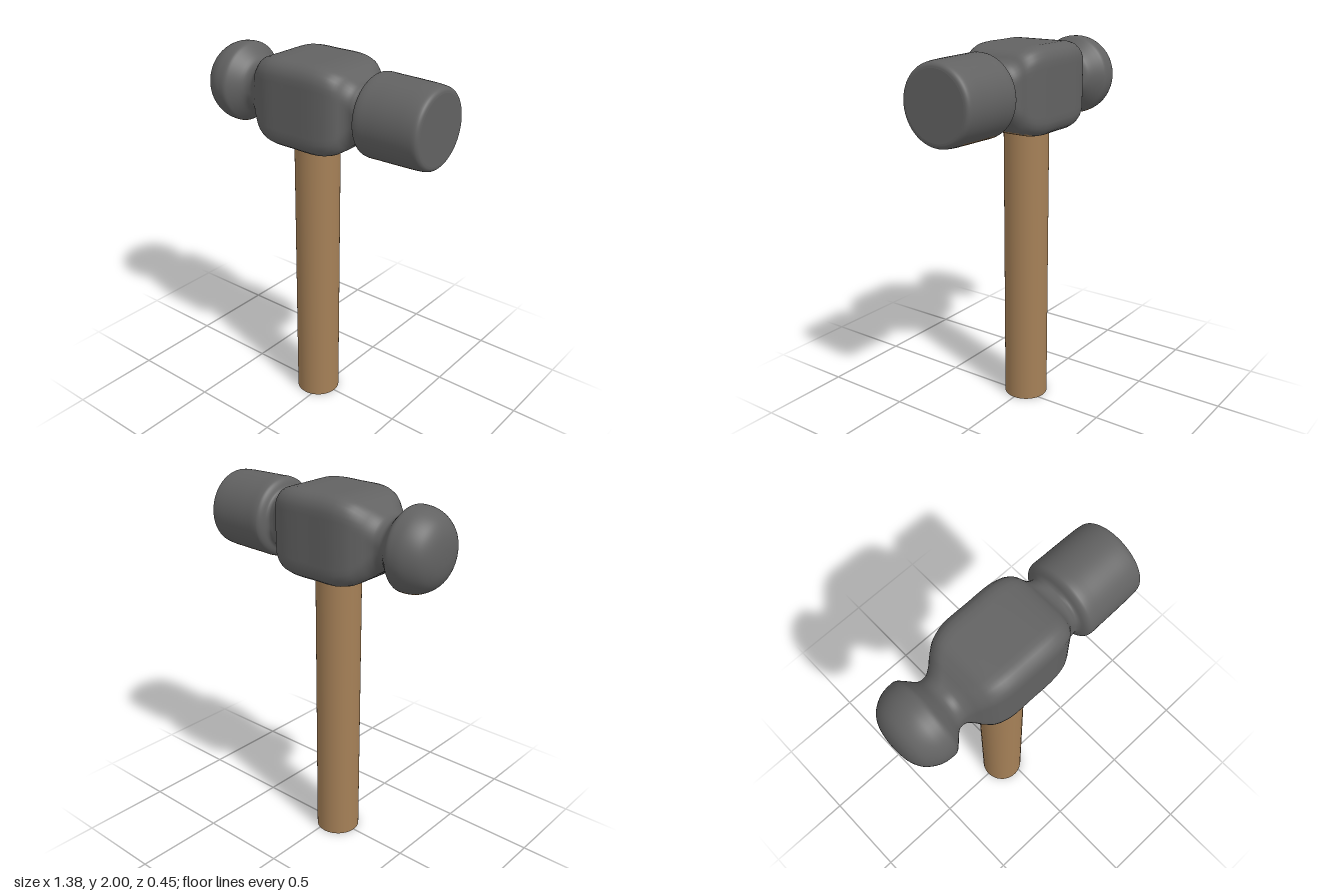
import * as THREE from 'three';

const HEAD_Y = 1.775;
const SIDES = 64;

// Head profile along its axis: [x, half width, roundness (1 = circle, less = rounded square)]
const PROFILE = [
  [-0.69, 0, 1], [-0.687, 0.055, 1], [-0.675, 0.11, 1], [-0.65, 0.155, 1], [-0.615, 0.185, 1],
  [-0.57, 0.206, 1], [-0.53, 0.212, 1], [-0.495, 0.21, 1], [-0.47, 0.19, 1], [-0.425, 0.146, 1],
  [-0.385, 0.134, 0.9], [-0.345, 0.147, 0.7], [-0.3, 0.18, 0.48], [-0.25, 0.208, 0.38],
  [-0.18, 0.224, 0.35], [-0.04, 0.226, 0.35], [0.1, 0.225, 0.35], [0.17, 0.213, 0.36],
  [0.21, 0.195, 0.4], [0.24, 0.167, 0.5], [0.26, 0.154, 0.6], [0.285, 0.15, 0.75],
  [0.312, 0.162, 0.95], [0.328, 0.197, 1], [0.345, 0.209, 1], [0.42, 0.21, 1],
  [0.55, 0.208, 1], [0.64, 0.205, 1], [0.675, 0.199, 1], [0.687, 0.187, 1], [0.69, 0.173, 1],
];

// Distance from the axis to a rounded square of half width r, along angle t
function sectionRadius(r, roundness, t) {
  const c = Math.abs(Math.cos(t)), s = Math.abs(Math.sin(t));
  const q = r * (1 - roundness), corner = r * roundness;
  const flat = r / Math.max(c, s);
  if (flat * Math.min(c, s) <= q) return flat;
  const b = q * (c + s);
  return b + Math.sqrt(Math.max(0, b * b - 2 * q * q + corner * corner));
}

function headGeometry() {
  const curve = new THREE.CatmullRomCurve3(PROFILE.map(p => new THREE.Vector3(...p)));
  const rings = curve.getPoints((PROFILE.length - 1) * 4);
  const positions = [], steel = [], wood = [];
  for (const { x, y: r, z: k } of rings) {
    for (let j = 0; j < SIDES; j++) {
      const t = (j / SIDES) * Math.PI * 2;
      const d = sectionRadius(Math.max(r, 0.0005), Math.min(k, 1), t);
      positions.push(x, d * Math.cos(t), d * Math.sin(t));
    }
  }
  const point = i => new THREE.Vector3().fromArray(positions, i * 3);
  for (let i = 0; i < rings.length - 1; i++) {
    for (let j = 0; j < SIDES; j++) {
      const a = i * SIDES + j, b = i * SIDES + (j + 1) % SIDES;
      const c = a + SIDES, d = b + SIDES;
      // The wide, downward facing patches carry the wood colour
      const normal = point(d).sub(point(a)).cross(point(c).sub(point(b))).normalize();
      const below = normal.y < -0.85 && rings[i].y > 0.18 && rings[i].x < 0.6;
      (below ? wood : steel).push(a, b, c, b, d, c);
    }
  }
  const geometry = new THREE.BufferGeometry();
  geometry.setAttribute('position', new THREE.Float32BufferAttribute(positions, 3));
  geometry.setIndex([...steel, ...wood]);
  geometry.addGroup(0, steel.length, 0);
  geometry.addGroup(steel.length, wood.length, 1);
  geometry.computeVertexNormals();
  return geometry;
}

export function createModel() {
  const model = new THREE.Group();
  model.name = 'ballPeenHammer';
  const steel = new THREE.MeshStandardMaterial({ color: 0x626262 });
  const wood = new THREE.MeshStandardMaterial({ color: 0xa58057 });

  const add = (name, geometry, material, x, y) => {
    const mesh = new THREE.Mesh(geometry, material);
    mesh.name = name;
    mesh.position.set(x, y, 0);
    model.add(mesh);
    return mesh;
  };

  // Ball, neck, square body and striking cylinder in one smooth loft
  add('head', headGeometry(), [steel, wood], 0, HEAD_Y);

  // Flat striking face
  add('strikingFace', new THREE.CircleGeometry(0.173, SIDES), steel, 0.69, HEAD_Y).rotation.y = Math.PI / 2;

  // Straight round handle, set slightly off centre
  add('handle', new THREE.CylinderGeometry(0.12, 0.12, 1.58, 48), wood, -0.04, 0.79);

  return model;
}
